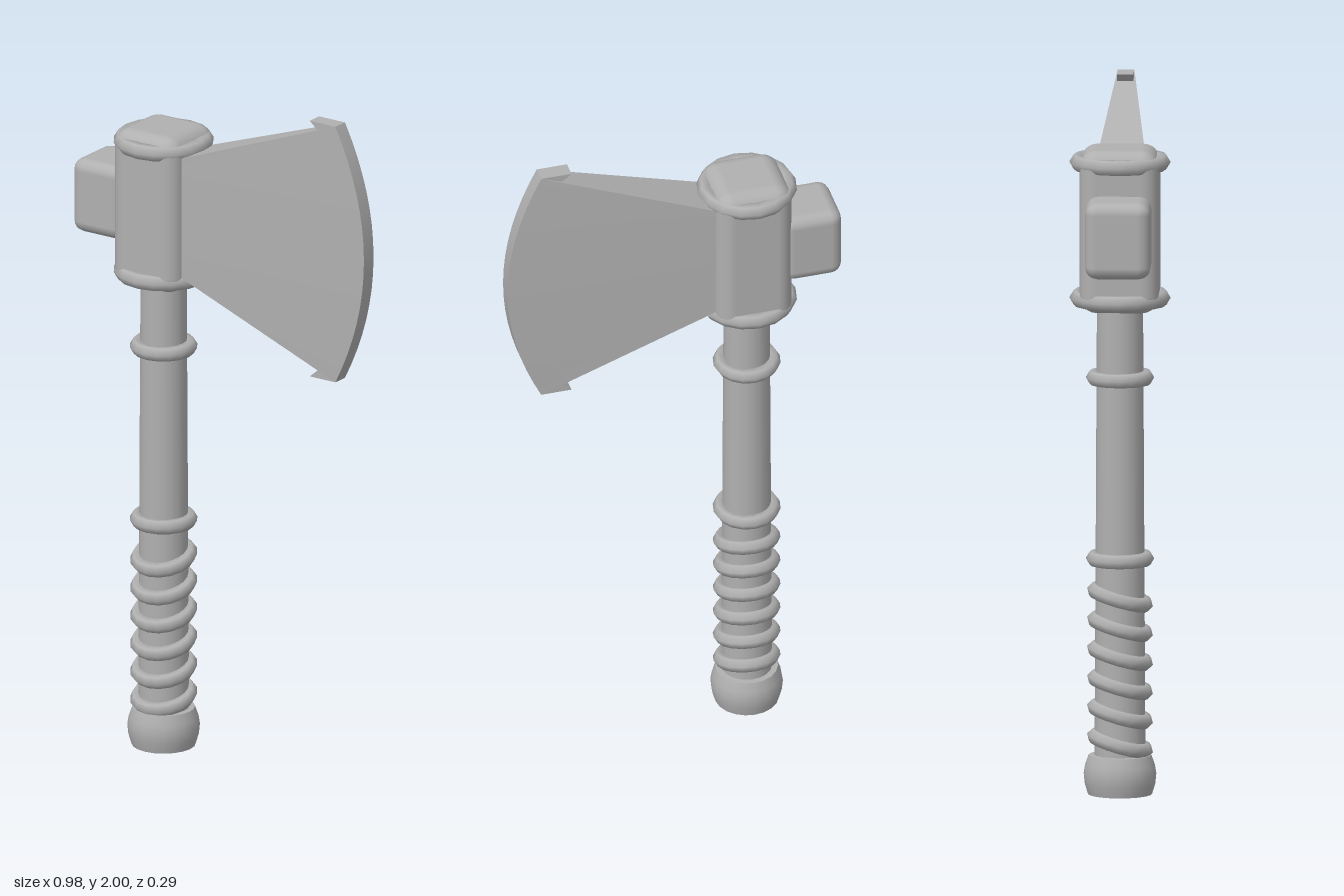
import * as THREE from 'three';
import { RoundedBoxGeometry } from 'three/addons/geometries/RoundedBoxGeometry.js';
import { toCreasedNormals } from 'three/addons/utils/BufferGeometryUtils.js';

const AXIS = -0.227; // x of the haft

// Wedge that fans from a thick root to a thin curved cutting edge
function bladeGeometry() {
  const steps = 16, pos = [];
  const quad = (a, b, c, d) => pos.push(...a, ...b, ...c, ...a, ...c, ...d);
  const row = (i) => {
    const v = (i / steps) * 2 - 1;
    const yr = 1.635 + 0.175 * v, ye = 1.6125 + 0.3875 * v;
    const xe = 0.39 + 0.1 * (1 - v * v);
    return { rf: [-0.13, yr, 0.073], ef: [xe, ye, 0.024], eb: [xe, ye, -0.024], rb: [-0.13, yr, -0.073] };
  };
  for (let i = 0; i < steps; i++) {
    const a = row(i), b = row(i + 1);
    quad(a.rf, a.ef, b.ef, b.rf);
    quad(a.ef, a.eb, b.eb, b.ef);
    quad(a.eb, a.rb, b.rb, b.eb);
    quad(a.rb, a.rf, b.rf, b.rb);
  }
  const lo = row(0), hi = row(steps);
  quad(hi.rf, hi.ef, hi.eb, hi.rb);
  quad(lo.rb, lo.eb, lo.ef, lo.rf);
  const g = new THREE.BufferGeometry();
  g.setAttribute('position', new THREE.Float32BufferAttribute(pos, 3));
  return toCreasedNormals(g, 0.5);
}

export function createModel() {
  const group = new THREE.Group();
  const metal = new THREE.MeshStandardMaterial({ color: 0xb0b0b0 });
  metal.name = 'grey';

  const add = (name, geometry, x, y, z = 0) => {
    const mesh = new THREE.Mesh(geometry, metal);
    mesh.name = name;
    mesh.position.set(x, y, z);
    group.add(mesh);
    return mesh;
  };
  const ring = (name, y, radius, tube, tilt = 0) => {
    const g = new THREE.TorusGeometry(radius, tube, 6, 16).rotateX(Math.PI / 2 + tilt);
    return add(name, g, AXIS, y);
  };

  // Haft, slightly thicker at the grip
  add('haft', new THREE.CylinderGeometry(0.066, 0.073, 1.36, 20), AXIS, 0.76);

  // Pommel
  const pommel = [[0, 0], [0.092, 0], [0.101, 0.03], [0.104, 0.06], [0.1, 0.085], [0.09, 0.113], [0, 0.115]]
    .map(([x, y]) => new THREE.Vector2(x, y));
  add('pommel', toCreasedNormals(new THREE.LatheGeometry(pommel, 20), 0.8), AXIS, 0);

  // Tilted grip wrapping
  for (let i = 0; i < 6; i++) ring('gripWrap', 0.147 + i * 0.0845, 0.076, 0.022, 0.28);

  // Haft collars
  for (const y of [0.682, 1.206]) ring('haftCollar', y, 0.076, 0.022);

  // Head block, its bands and the hammer poll
  add('headBlock', new RoundedBoxGeometry(0.227, 0.472, 0.227, 3, 0.05), AXIS, 1.637);
  for (const y of [1.437, 1.83]) ring('headBand', y, 0.121, 0.024);
  add('poll', new RoundedBoxGeometry(0.18, 0.222, 0.188, 2, 0.035), -0.4, 1.636);

  // Blade and the small hooks at its tips
  add('blade', bladeGeometry(), 0, 0);
  for (const s of [1, -1]) {
    const corners = [[0.3, 0.3875], [0.39, 0.3875], [0.41, 0.31], [0.36, 0.32], [0.33, 0.362]]
      .map(([x, y]) => new THREE.Vector2(x, y * s));
    const hook = new THREE.ExtrudeGeometry(new THREE.Shape(corners), { depth: 0.047, bevelEnabled: false });
    add('bladeHook', hook, 0, 1.6125, -0.0235);
  }
  return group;
}
